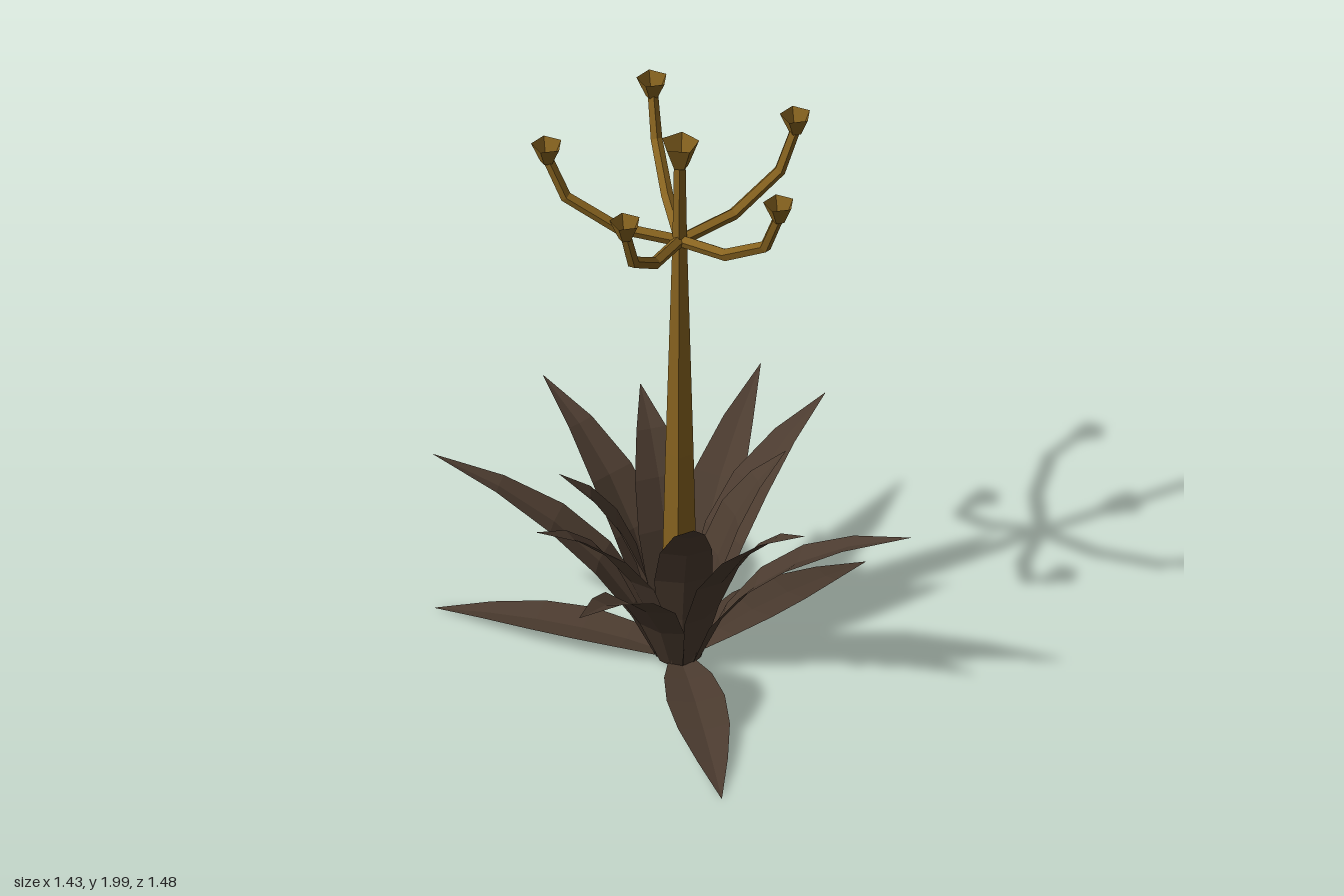
import * as THREE from 'three';

// Skin rows of points with flat-shaded quads
function loft(rows) {
  const v = [];
  const tri = (...pts) => pts.forEach((p) => v.push(p.x, p.y, p.z));
  for (let i = 0; i < rows.length - 1; i++) {
    for (let j = 0; j < rows[i].length - 1; j++) {
      const a = rows[i][j], b = rows[i][j + 1], c = rows[i + 1][j + 1], d = rows[i + 1][j];
      tri(a, b, c);
      tri(a, c, d);
    }
  }
  const g = new THREE.BufferGeometry();
  g.setAttribute('position', new THREE.Float32BufferAttribute(v, 3));
  g.computeVertexNormals();
  return g;
}

// Pointed, channelled leaf that grows along +x and bends outwards
function leafGeometry(reach, tipY) {
  const floor = tipY < 0.1;
  const curve = new THREE.QuadraticBezierCurve3(
    new THREE.Vector3(floor ? 0.04 : 0.07, 0.025, 0),
    floor ? new THREE.Vector3(reach * 0.45, 0.085, 0) : new THREE.Vector3(reach * 0.28, tipY * 0.72, 0),
    new THREE.Vector3(reach, tipY, 0));
  const half = [0.04, 0.078, 0.095, 0.085, 0.05, 0.001];
  return loft(half.map((w, i) => {
    const t = i / (half.length - 1);
    const p = curve.getPoint(t), d = curve.getTangent(t);
    const fold = w * 0.2;
    const x = p.x - d.y * fold, y = p.y + d.x * fold;
    return [new THREE.Vector3(x, y, w), p, new THREE.Vector3(x, y, -w)];
  }));
}

// Five-sided branch through [x, y, radius] points
function branchGeometry(path) {
  return loft(path.map(([x, y, r], i) => {
    const a = path[Math.max(i - 1, 0)], b = path[Math.min(i + 1, path.length - 1)];
    const t = new THREE.Vector2(b[0] - a[0], b[1] - a[1]).normalize();
    return Array.from({ length: 6 }, (_, k) => {
      const ang = (k / 5) * Math.PI * 2, c = Math.cos(ang) * r;
      return new THREE.Vector3(x - t.y * c, y + t.x * c, Math.sin(ang) * r);
    });
  }));
}

export function createModel() {
  const model = new THREE.Group();
  model.name = 'floweringSucculent';

  const leafBrown = new THREE.MeshStandardMaterial({ color: 0x4c3c30, flatShading: true, side: THREE.DoubleSide });
  leafBrown.name = 'leaf brown';
  const stalkGold = new THREE.MeshStandardMaterial({ color: 0x86621f, flatShading: true, side: THREE.DoubleSide });
  stalkGold.name = 'stalk gold';

  const add = (parent, name, geo, mat) => {
    const m = new THREE.Mesh(geo, mat);
    m.name = name;
    parent.add(m);
    return m;
  };

  // Leaf tips [x, y, z]; the last three lie on the ground
  const tips = [
    [0.42, 0.65, -0.74], [0.55, 0.78, -0.35], [0.37, 0.74, -0.11], [0.32, 0.77, 0.42],
    [0.68, 0.68, 0.37], [-0.02, 0.76, 0.30], [-0.46, 0.69, 0.61], [-0.52, 0.77, 0.22],
    [-0.38, 0.77, -0.09], [-0.72, 0.66, -0.44], [-0.32, 0.79, -0.62], [-0.03, 0.81, -0.48],
    [0.71, 0.01, -0.48], [-0.02, 0.01, 0.74], [-0.70, 0.01, -0.51],
  ];
  const leaves = new THREE.Group();
  leaves.name = 'leaves';
  leaves.position.set(0.01, 0, -0.07);
  model.add(leaves);
  for (const [x, y, z] of tips) {
    const dx = x - leaves.position.x, dz = z - leaves.position.z;
    add(leaves, 'leaf', leafGeometry(Math.hypot(dx, dz), y), leafBrown).rotation.y = Math.atan2(-dz, dx);
  }

  // Tall tapering stalk
  const flower = new THREE.Group();
  flower.name = 'flowerStalk';
  flower.position.set(0.02, 0, -0.1);
  model.add(flower);
  add(flower, 'stalk', branchGeometry([[0, 0.03, 0.066], [0, 0.8, 0.048], [0, 1.62, 0.025], [0, 1.92, 0.02]]), stalkGold);

  // Open five-sided cup with a floor
  const addCup = (parent, x, y0, y1, r0, r1) => {
    const cup = new THREE.Group();
    cup.name = 'cup';
    cup.position.x = x;
    parent.add(cup);
    const wall = add(cup, 'cupWall', new THREE.CylinderGeometry(r1, r0, y1 - y0, 5, 1, true), stalkGold);
    wall.position.y = (y0 + y1) / 2;
    wall.rotation.y = Math.PI / 2;
    const base = add(cup, 'cupFloor', new THREE.CircleGeometry(r0, 5), stalkGold);
    base.rotation.x = -Math.PI / 2;
    base.position.y = y0;
  };
  addCup(flower, 0, 1.91, 2, 0.028, 0.063);

  // Five curved arms, each ending in a cup
  for (let i = 0; i < 5; i++) {
    const arm = new THREE.Group();
    arm.name = 'arm';
    arm.rotation.y = Math.PI / 2 + (i * Math.PI * 2) / 5;
    flower.add(arm);
    add(arm, 'armBranch', branchGeometry([
      [0, 1.62, 0.021], [0.2, 1.655, 0.021], [0.37, 1.765, 0.02], [0.425, 1.9, 0.018],
    ]), stalkGold);
    addCup(arm, 0.43, 1.895, 1.962, 0.022, 0.052);
  }
  return model;
}
